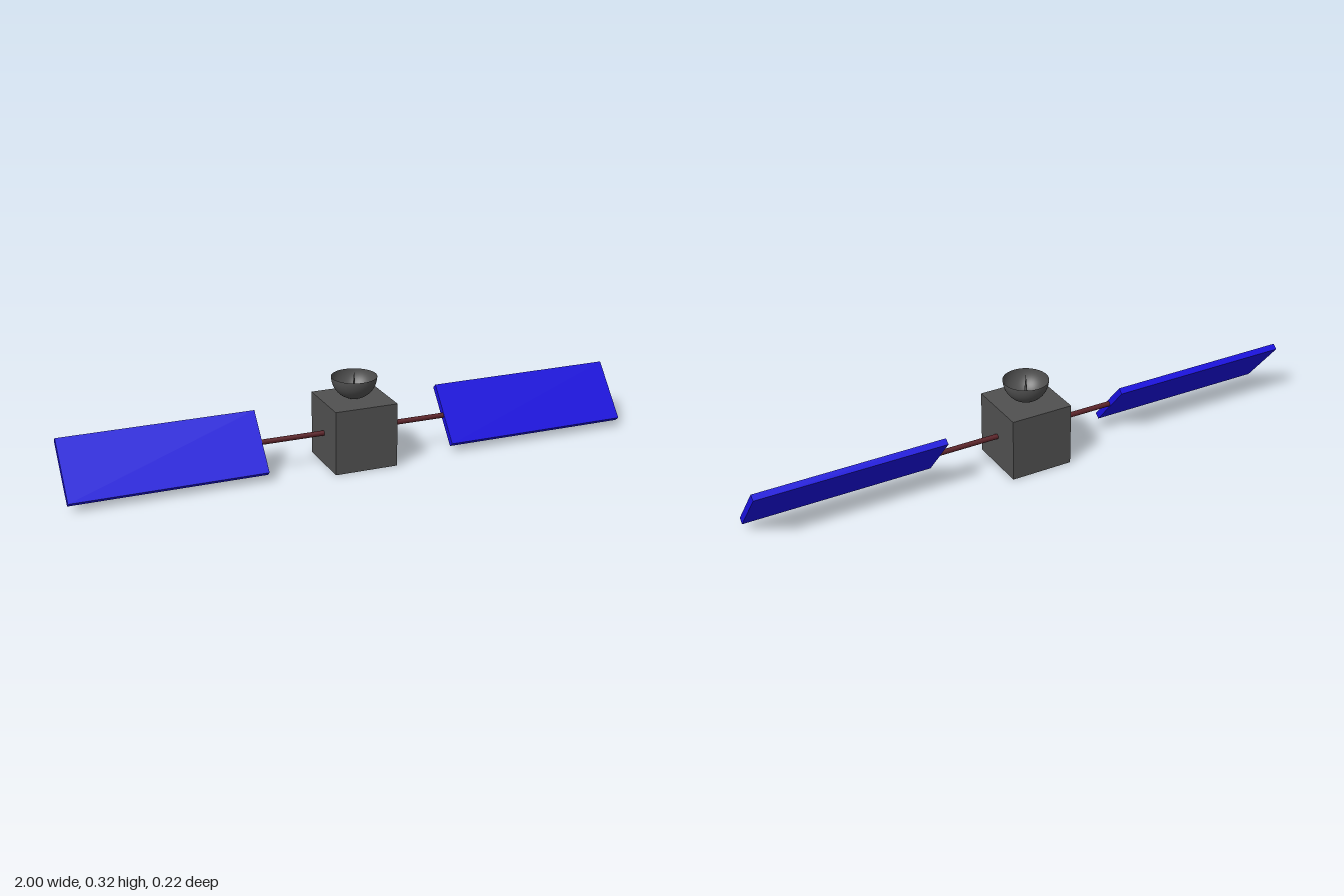
import * as THREE from 'three';

const mat = (color, side = THREE.FrontSide) => new THREE.MeshStandardMaterial({ color, side });

function add(parent, name, geometry, material, x = 0, y = 0, z = 0) {
  const mesh = new THREE.Mesh(geometry, material);
  mesh.name = name;
  mesh.position.set(x, y, z);
  parent.add(mesh);
  return mesh;
}

export function createModel() {
  const group = new THREE.Group();
  group.name = 'satellite';

  const U = 1 / 9; // half the body's width
  const grey = mat(0x505050);
  const dishGrey = mat(0x505050, THREE.DoubleSide);
  const blue = mat(0x1a10e0);
  const brown = mat(0x5a2228);

  // Cubic body
  add(group, 'body', new THREE.BoxGeometry(2 * U, 2 * U, 2 * U), grey, 0, U, 0);

  // Open hemispherical dish resting on the body
  const R = 0.7 * U;
  const bowl = new THREE.SphereGeometry(R, 48, 20, 0, Math.PI * 2, Math.PI / 2, Math.PI / 2);
  add(group, 'dish', bowl, dishGrey, 0, 2 * U + R, 0);

  // Tapered feed antenna standing in the dish
  const feedHeight = 0.096;
  add(group, 'antenna', new THREE.ConeGeometry(0.008, feedHeight, 16), grey, 0, 2 * U + feedHeight / 2, 0);

  // Arm and tilted solar panel on each side
  for (const [label, s] of [['left', 1], ['right', -1]]) {
    const wing = new THREE.Group();
    wing.name = label + 'Wing';
    wing.position.y = U;
    group.add(wing);

    const arm = add(wing, label + 'Arm', new THREE.CylinderGeometry(0.009, 0.009, 2 * U, 24), brown, s * 2 * U);
    arm.rotation.z = Math.PI / 2;

    const panel = add(wing, label + 'Panel', new THREE.BoxGeometry(6 * U, 2 * U, 0.2 * U), blue, s * 6 * U);
    panel.rotation.x = -THREE.MathUtils.degToRad(40);
  }

  return group;
}
